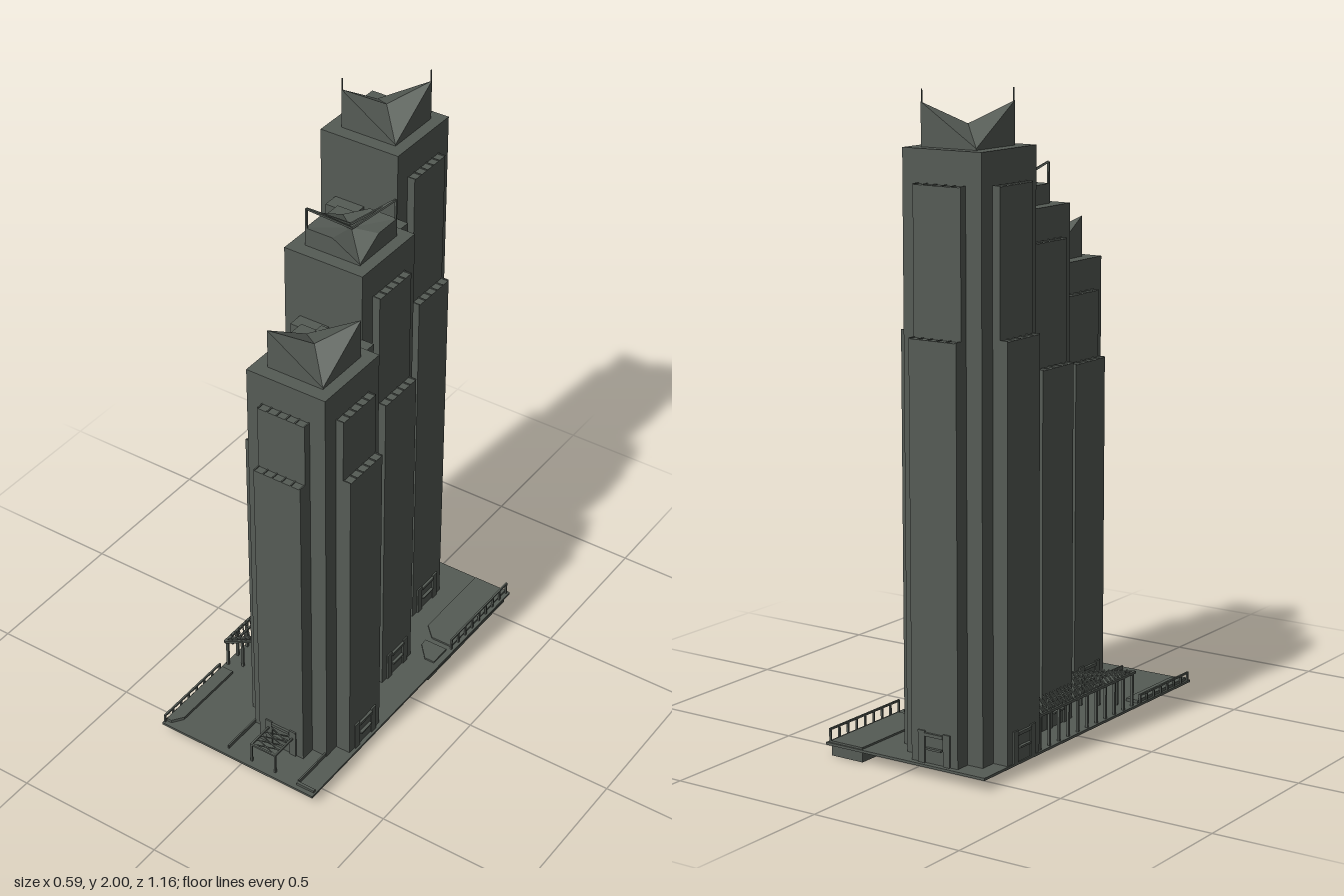
import * as THREE from 'three';

const stone = new THREE.MeshStandardMaterial({ color: 0x555b55 });
stone.name = 'grey green stone';

const GROUND = 0.042;

// Box given by its limits on each axis
function box(parent, name, x0, x1, y0, y1, z0, z1) {
  const m = new THREE.Mesh(new THREE.BoxGeometry(x1 - x0, y1 - y0, z1 - z0), stone);
  m.position.set((x0 + x1) / 2, (y0 + y1) / 2, (z0 + z1) / 2);
  m.name = name;
  parent.add(m);
  return m;
}

// Square bar between two points
function bar(parent, name, a, b, w, h = w) {
  const p = new THREE.Vector3(...a), q = new THREE.Vector3(...b);
  const m = new THREE.Mesh(new THREE.BoxGeometry(w, h, p.distanceTo(q)), stone);
  m.position.copy(p).add(q).multiplyScalar(0.5);
  m.lookAt(q);
  m.name = name;
  parent.add(m);
  return m;
}

// Fan roof over a ring of points (counterclockwise from above) with vertical walls
function fanRoof(ring, centreY, baseY) {
  const pos = [];
  ring.forEach((p, i) => {
    const q = ring[(i + 1) % ring.length];
    const pb = [p[0], baseY, p[2]], qb = [q[0], baseY, q[2]];
    pos.push(0, centreY, 0, ...p, ...q, ...pb, ...qb, ...q, ...pb, ...q, ...p);
  });
  const g = new THREE.BufferGeometry();
  g.setAttribute('position', new THREE.Float32BufferAttribute(pos, 3));
  g.computeVertexNormals();
  return g;
}

// Butterfly crown: two opposite corners rise, the other two stay at roof level
function crown(tower, roof, open) {
  const g = new THREE.Group();
  g.name = 'crown';
  const r = 0.096, low = roof + 0.005, high = roof + (open ? 0.06 : 0.128);
  let ring = [[-r, high, r], [r, low, r], [r, high, -r], [-r, low, -r]];
  if (open) {
    const mid = (p, q) => [(p[0] + q[0]) / 2, high, (p[2] + q[2]) / 2];
    ring = ring.flatMap((p, i) => [p, mid(p, ring[(i + 1) % 4])]);
  }
  const top = new THREE.Mesh(fanRoof(ring, roof + (open ? 0.045 : 0.064), roof - 0.002), stone);
  top.name = 'crownRoof';
  g.add(top);
  if (open) for (const s of [-1, 1]) {
    const tip = [s * r * 0.97, roof + 0.125, -s * r * 0.97];
    bar(g, 'crownPost', [tip[0], roof, tip[2]], tip, 0.006);
    for (const o of [-0.008, 0.008])
      bar(g, 'crownStrut', tip, [o, roof + 0.05, o], 0.006);
  }
  g.position.set(0.003, 0, -0.003);
  tower.add(g);
  return g;
}

// Two-step bay with roof ribs and a ground floor portal, built facing +z
function bay(tower, angle, upper, lower) {
  const g = new THREE.Group();
  g.name = 'bay';
  g.rotation.y = angle;
  const w = 0.083;
  box(g, 'upperBay', -w, w, GROUND, upper, 0.12, 0.162);
  box(g, 'lowerBay', -w, w, GROUND, lower, 0.155, 0.187);
  for (let i = 0; i <= 5; i++) {
    const x = -w + 0.002 + i * (2 * w - 0.004) / 5;
    box(g, 'bayRoofRib', x - 0.002, x + 0.002, upper, upper + 0.003, 0.137, 0.162);
    box(g, 'bayRoofRib', x - 0.002, x + 0.002, lower, lower + 0.003, 0.162, 0.187);
  }
  for (const s of [-1, 1])
    box(g, 'portalPier', s * 0.045 - 0.012, s * 0.045 + 0.012, GROUND, 0.14, 0.18, 0.192);
  box(g, 'portalLintel', -0.033, 0.033, 0.125, 0.135, 0.18, 0.195);
  box(g, 'portalCanopy', -0.028, 0.028, 0.085, 0.091, 0.18, 0.197);
  tower.add(g);
}

export function createModel() {
  const model = new THREE.Group();
  model.name = 'towerComplex';
  const E = Math.PI / 2;

  // Three stepped towers
  const towers = [
    { name: 'backTower', x: -0.1, z: -0.375, roof: 1.835, upper: 1.735, lower: 1.297, sides: [-E, E, Math.PI] },
    { name: 'middleTower', x: -0.004, z: -0.05, roof: 1.63, upper: 1.53, lower: 1.155, sides: [-E, E], open: true },
    { name: 'frontTower', x: 0.09, z: 0.274, roof: 1.425, upper: 1.325, lower: 1.115, sides: [-E, E, 0] },
  ];
  for (const t of towers) {
    const g = new THREE.Group();
    g.name = t.name;
    g.position.set(t.x, 0, t.z);
    box(g, 'shaft', -0.137, 0.137, GROUND, t.roof, -0.137, 0.137);
    for (const a of t.sides) bay(g, a, t.upper, t.lower);
    const c = crown(g, t.roof, t.open);
    if (t.name === 'backTower') for (const s of [-1, 1])
      bar(c, 'antenna', [s * 0.094, t.roof, -s * 0.094], [s * 0.094, 2, -s * 0.094], 0.003);
    model.add(g);
  }

  // Links between towers: two blocks with a recessed core between them
  for (const [x, z, top] of [[-0.054, -0.212, 1.62], [0.043, 0.111, 1.41]]) {
    box(model, 'linkLeft', x + 0.034, x + 0.13, GROUND, top, z - 0.026, z + 0.026);
    box(model, 'linkRight', x - 0.13, x - 0.027, GROUND, top, z - 0.026, z + 0.026);
    box(model, 'linkCore', x - 0.03, x + 0.04, GROUND, top - 0.06, z - 0.026, z + 0.026);
  }
  box(model, 'roofPlant', 0.03, 0.155, 1.42, 1.455, 0.145, 0.178);

  // Ground slab and sunken blocks below it
  box(model, 'groundSlab', -0.29, 0.29, 0.034, GROUND, -0.58, 0.58);
  box(model, 'basement', 0.16, 0.275, 0, 0.036, -0.57, -0.1);
  box(model, 'basementAnnex', 0.05, 0.165, 0, 0.036, -0.24, -0.12);

  // Planters with chamfered ends
  const planter = (points, h) => {
    const s = new THREE.Shape(points.map(([x, z]) => new THREE.Vector2(x, -z)));
    const m = new THREE.Mesh(new THREE.ExtrudeGeometry(s, { depth: h, bevelEnabled: false }), stone);
    m.rotation.x = -E;
    m.position.y = GROUND - 0.002;
    m.name = 'planter';
    model.add(m);
  };
  planter([[0.157, -0.575], [0.275, -0.575], [0.275, -0.237], [0.2, -0.237], [0.157, -0.28]], 0.008);
  planter([[0.19, -0.215], [0.27, -0.215], [0.27, -0.14], [0.235, -0.14], [0.19, -0.19]], 0.008);
  planter([[-0.283, 0.27], [-0.24, 0.27], [-0.24, 0.53], [-0.265, 0.565], [-0.283, 0.565]], 0.012);

  // Railings along the two long edges
  const railing = (x, z0, z1, h) => {
    const n = Math.round((z1 - z0) / 0.042);
    for (let i = 0; i <= n; i++) {
      const z = z0 + (z1 - z0) * i / n;
      box(model, 'railPost', x - 0.003, x + 0.003, GROUND, h, z - 0.003, z + 0.003);
    }
    box(model, 'railTop', x - 0.003, x + 0.003, h - 0.006, h, z0, z1);
  };
  railing(0.28, -0.57, -0.23, 0.085);
  railing(-0.285, 0.28, 0.57, 0.07);

  // Pergola on the right edge with diagonal slats
  const deck = 0.148;
  bar(model, 'pergolaBeam', [-0.28, deck, -0.29], [-0.28, deck, 0.255], 0.008);
  bar(model, 'pergolaBeam', [-0.262, deck - 0.01, -0.24], [-0.262, deck - 0.01, 0.24], 0.006);
  for (const o of [0, 0.02])
    bar(model, 'pergolaBeam', [-0.28, deck, 0.255 - o], [-0.095, deck, 0.115 - o], 0.008);
  for (let z0 = -0.28; z0 < 0.23; z0 += 0.02) {
    const t = Math.min((0.255 - z0) / 1.757, z0 < -0.12 ? 0.09 : 0.14);
    bar(model, 'pergolaSlat', [-0.28, deck + 0.006, z0], [-0.28 + t, deck + 0.006, z0 + t], 0.004, 0.006);
  }
  for (let i = 0; i < 11; i++) {
    const z = -0.28 + i * 0.052;
    box(model, 'pergolaPost', -0.284, -0.276, GROUND, deck, z - 0.004, z + 0.004);
  }
  for (let i = 1; i < 5; i++) {
    const x = -0.28 + i * 0.045, z = 0.255 - i * 0.034;
    box(model, 'pergolaPost', x - 0.004, x + 0.004, GROUND, deck, z - 0.004, z + 0.004);
  }

  // Entrance canopy with a crossed lattice
  const y = 0.112, cx0 = 0.045, cx1 = 0.135, z0 = 0.46, z1 = 0.56;
  for (const x of [cx0, cx1]) {
    bar(model, 'canopyBeam', [x, y, z0], [x, y, z1], 0.006);
    box(model, 'canopyPost', x - 0.003, x + 0.003, GROUND, y, z1 - 0.006, z1);
  }
  bar(model, 'canopyBeam', [cx0, y, z1 - 0.003], [cx1, y, z1 - 0.003], 0.006);
  for (let i = 0; i < 4; i++) {
    const z = z0 + i * 0.022;
    bar(model, 'canopyLattice', [cx0, y, z], [cx1, y, z + 0.03], 0.003);
    bar(model, 'canopyLattice', [cx1, y, z], [cx0, y, z + 0.03], 0.003);
  }

  // Low walls beside the entrance
  for (const [a, b] of [[-0.05, -0.045], [0.22, 0.225]])
    box(model, 'lowWall', a, b, GROUND, 0.055, 0.41, 0.555);
  box(model, 'lowWall', 0.22, 0.285, GROUND, 0.05, 0.555, 0.565);

  return model;
}
